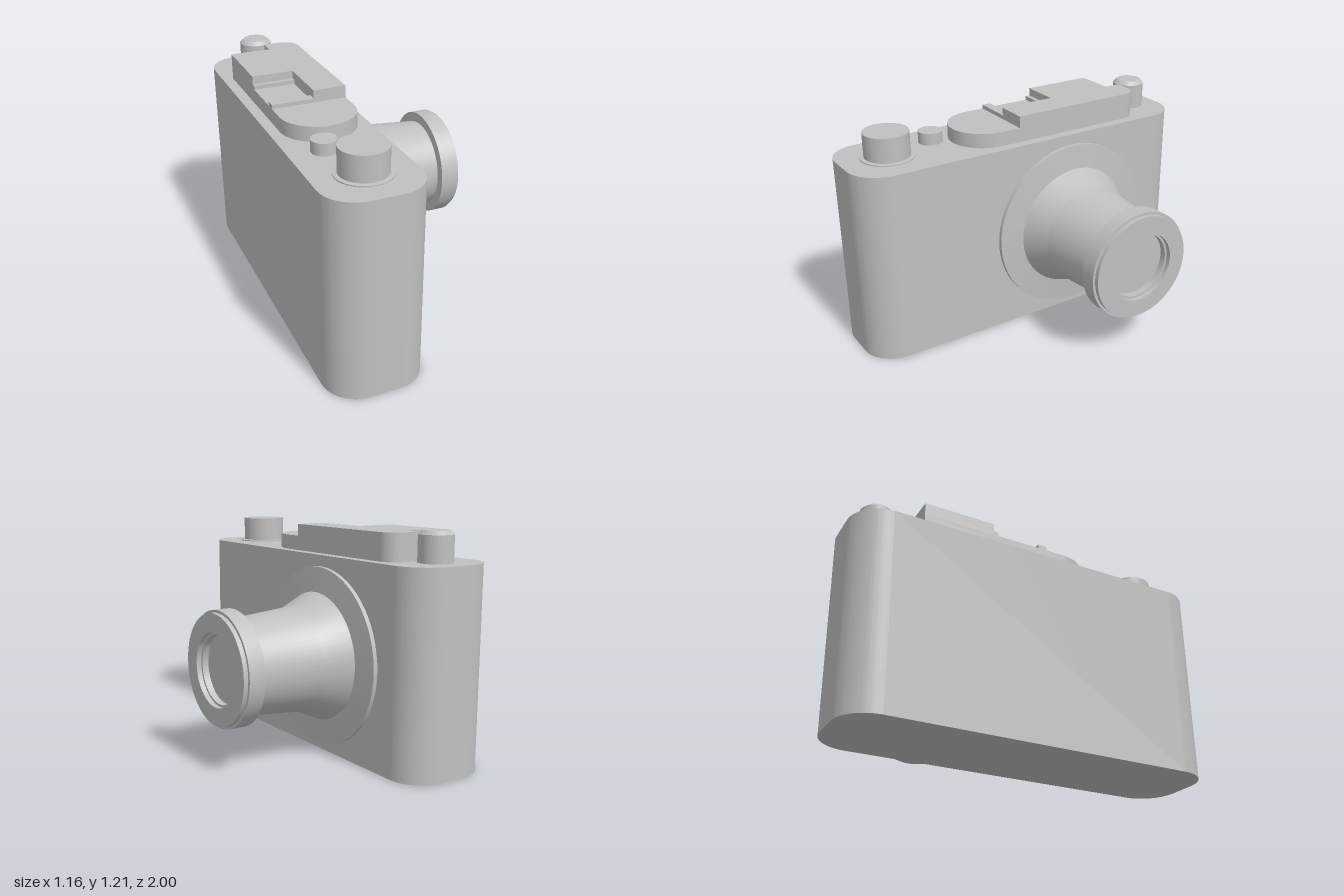
import * as THREE from 'three';
import { toCreasedNormals } from 'three/addons/utils/BufferGeometryUtils.js';

const BODY_TOP = 1.056;
const KNOB_X = -0.325;

export function createModel() {
  const camera = new THREE.Group();
  camera.name = 'camera';
  const grey = new THREE.MeshStandardMaterial({ color: 0xc0c0c0 });
  grey.name = 'grey';

  const add = (name, geometry) => {
    const mesh = new THREE.Mesh(toCreasedNormals(geometry, 0.35), grey);
    mesh.name = name;
    camera.add(mesh);
    return mesh;
  };

  // Raises a plan outline of [x, z, cornerRadius] points from y0 to y1
  const slab = (name, corners, y0, y1) => {
    const shape = new THREE.Shape();
    const n = corners.length;
    const at = (i) => new THREE.Vector2(corners[(i + n) % n][0], -corners[(i + n) % n][1]);
    for (let i = 0; i < n; i++) {
      const p = at(i), r = corners[i][2] || 0;
      const a = p.clone().add(at(i - 1).sub(p).setLength(r));
      const b = p.clone().add(at(i + 1).sub(p).setLength(r));
      if (i === 0) shape.moveTo(a.x, a.y);
      else shape.lineTo(a.x, a.y);
      if (r > 0) {
        // Circular corner, tangent to both neighbouring edges
        const c = a.clone().add(b).sub(p);
        const start = Math.atan2(a.y - c.y, a.x - c.x);
        const end = Math.atan2(b.y - c.y, b.x - c.x);
        const clockwise = (p.x - a.x) * (b.y - p.y) - (p.y - a.y) * (b.x - p.x) < 0;
        shape.absarc(c.x, c.y, r, start, end, clockwise);
      }
    }
    shape.closePath();
    const geometry = new THREE.ExtrudeGeometry(shape, { depth: y1 - y0, bevelEnabled: false, curveSegments: 16 });
    geometry.rotateX(-Math.PI / 2).translate(0, y0, 0);
    return add(name, geometry);
  };

  // Turns a [radius, height] profile about the vertical axis
  const turned = (profile) =>
    new THREE.LatheGeometry(profile.map(([r, h]) => new THREE.Vector2(r, h)), 64);

  // Body with rounded upright corners
  slab('body', [
    [-0.58, 1, 0.18], [-0.07, 1, 0.18], [-0.07, -1, 0.18], [-0.58, -1, 0.18],
  ], 0, BODY_TOP);

  // Stepped top housing: low plate, tall block and two ridges in its notch
  slab('topPlate', [
    [-0.522, 0.37, 0.197], [-0.125, 0.37, 0.197], [-0.125, -0.73, 0.085],
    [-0.3, -0.73], [-0.3, -0.64], [-0.522, -0.64],
  ], BODY_TOP, 1.135);
  slab('viewfinderHousing', [
    [-0.3, 0.065], [-0.125, 0.065], [-0.125, -0.73, 0.085], [-0.3, -0.73],
    [-0.3, -0.64], [-0.522, -0.64], [-0.522, -0.25], [-0.3, -0.25],
  ], 1.135, 1.2);
  for (const [z0, z1] of [[0.015, 0.065], [-0.25, -0.225]]) {
    slab('shoeRidge', [[-0.522, z1], [-0.3, z1], [-0.3, z0], [-0.522, z0]], 1.135, 1.157);
  }

  // Knobs and shutter button
  add('windingKnob', turned([
    [0.143, 0], [0.143, 0.006], [0.121, 0.008], [0.121, 0.14], [0, 0.14],
  ])).position.set(KNOB_X, BODY_TOP, 0.745);
  add('shutterButton', turned([
    [0.065, 0], [0.065, 0.064], [0, 0.064],
  ])).position.set(-0.402, BODY_TOP, 0.46);
  add('rewindKnob', turned([
    [0.088, 0], [0.088, 0.138], [0.067, 0.158], [0, 0.158],
  ])).position.set(KNOB_X, BODY_TOP, -0.825);

  // Lens barrel facing +x, with mounting flange and recessed front glass
  const lens = add('lens', turned([
    [0.477, -0.07], [0.477, -0.047], [0.343, -0.035], [0.277, 0.11],
    [0.246, 0.465], [0.3, 0.465], [0.3, 0.553], [0.286, 0.553], [0.286, 0.577],
    [0.19, 0.577], [0.19, 0.55], [0.178, 0.55], [0.178, 0.515], [0, 0.515],
  ]));
  lens.rotation.z = -Math.PI / 2;
  lens.position.set(0, 0.52, -0.235);

  return camera;
}
